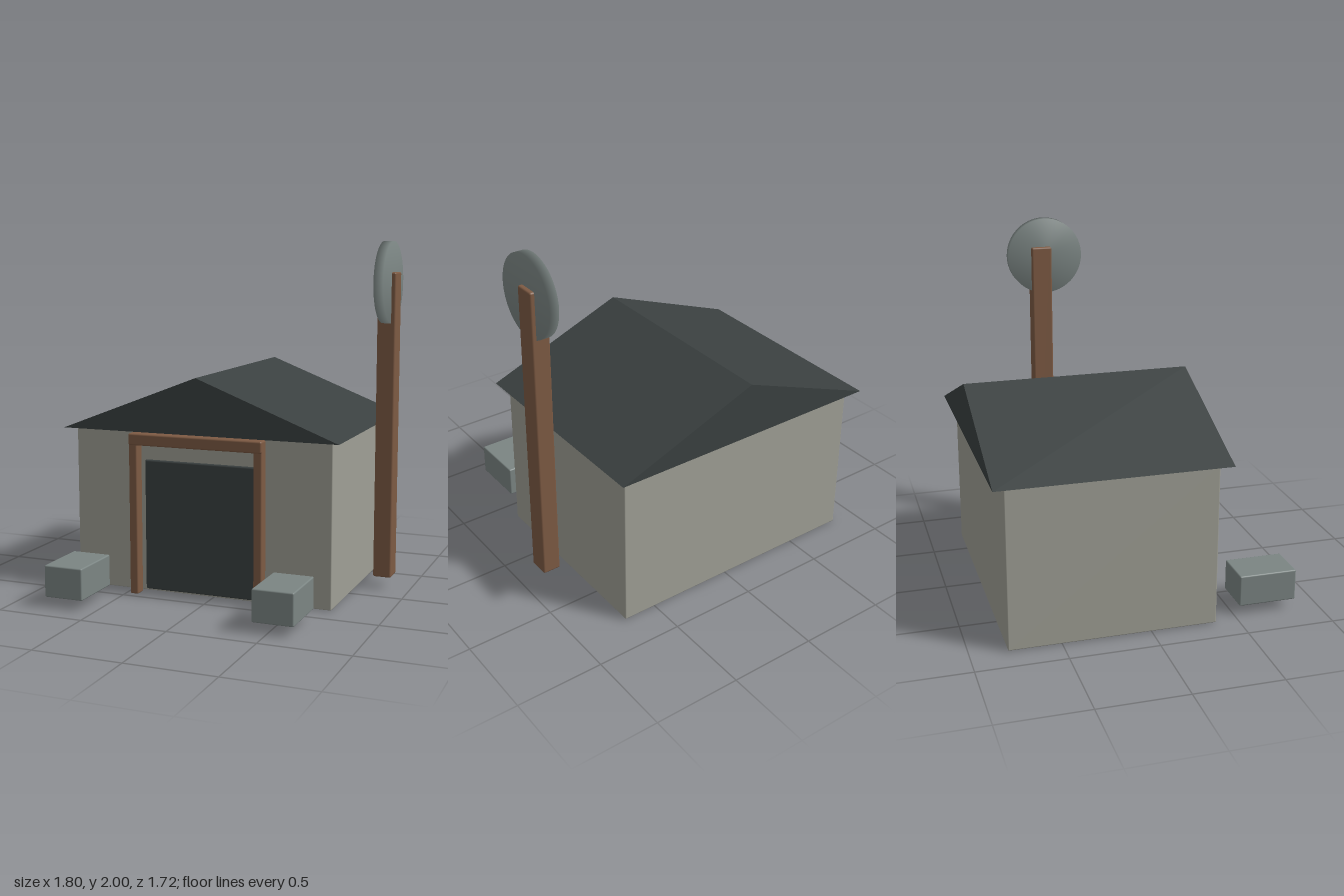
import * as THREE from 'three';
import { mergeVertices } from 'three/addons/utils/BufferGeometryUtils.js';
import { RoundedBoxGeometry } from 'three/addons/geometries/RoundedBoxGeometry.js';

function material(name, color) {
  const m = new THREE.MeshStandardMaterial({ color });
  m.name = name;
  return m;
}

export function createModel() {
  const group = new THREE.Group();
  const plaster = material('plaster', 0x9f9f95);
  const slate = material('slate', 0x3a4040);
  const wood = material('wood', 0x7d5a43);
  const stone = material('stone', 0x7b8583);

  const add = (name, geometry, mat) => {
    const mesh = new THREE.Mesh(geometry, mat);
    mesh.name = name;
    group.add(mesh);
    return mesh;
  };

  // Softly bevelled box given by its [min, max] extents
  const box = (name, mat, [x0, x1], [y0, y1], [z0, z1], bevel) => {
    const geometry = new RoundedBoxGeometry(x1 - x0, y1 - y0, z1 - z0, 2, bevel);
    add(name, geometry, mat).position.set((x0 + x1) / 2, (y0 + y1) / 2, (z0 + z1) / 2);
  };

  // Walls and door
  box('walls', plaster, [-0.847, 0.698], [0.005, 0.936], [-0.795, 0.37], 0.006);
  box('door', slate, [-0.41, 0.263], [0.015, 0.77], [0.345, 0.385], 0.01);

  // Gable roof: triangular prism along z
  const gable = new THREE.Shape([
    new THREE.Vector2(-0.9, 0.935),
    new THREE.Vector2(0.75, 0.935),
    new THREE.Vector2(-0.075, 1.255),
  ]);
  const roof = new THREE.ExtrudeGeometry(gable, { depth: 1.293, bevelEnabled: false });
  add('roof', roof, slate).position.z = -0.86;

  // Door frame, mirrored about the door centre, and front blocks
  const centre = -0.075;
  for (const [side, s] of [['left', 1], ['right', -1]]) {
    const span = (a, b) => [centre + s * a, centre + s * b].sort((p, q) => p - q);
    box(`${side}DoorPost`, wood, span(0.35, 0.4), [0, 0.88], [0.39, 0.458], 0.008);
    box(`${side}Block`, stone, span(0.493, 0.724), [0.056, 0.236], [0.526, 0.86], 0.008);
  }
  box('lintel', wood, [-0.475, 0.325], [0.863, 0.93], [0.391, 0.466], 0.01);

  // Tall pole beside the building
  box('pole', wood, [0.79, 0.896], [0.07, 1.826], [-0.274, -0.15], 0.01);

  // Disc with normals blended over its rim
  let disc = new THREE.CylinderGeometry(0.231, 0.231, 0.054, 48);
  disc.deleteAttribute('normal');
  disc.deleteAttribute('uv');
  disc = mergeVertices(disc, 1e-4);
  disc.computeVertexNormals();
  disc.rotateZ(Math.PI / 2);
  add('disc', disc, stone).position.set(0.844, 1.769, -0.187);

  return group;
}
